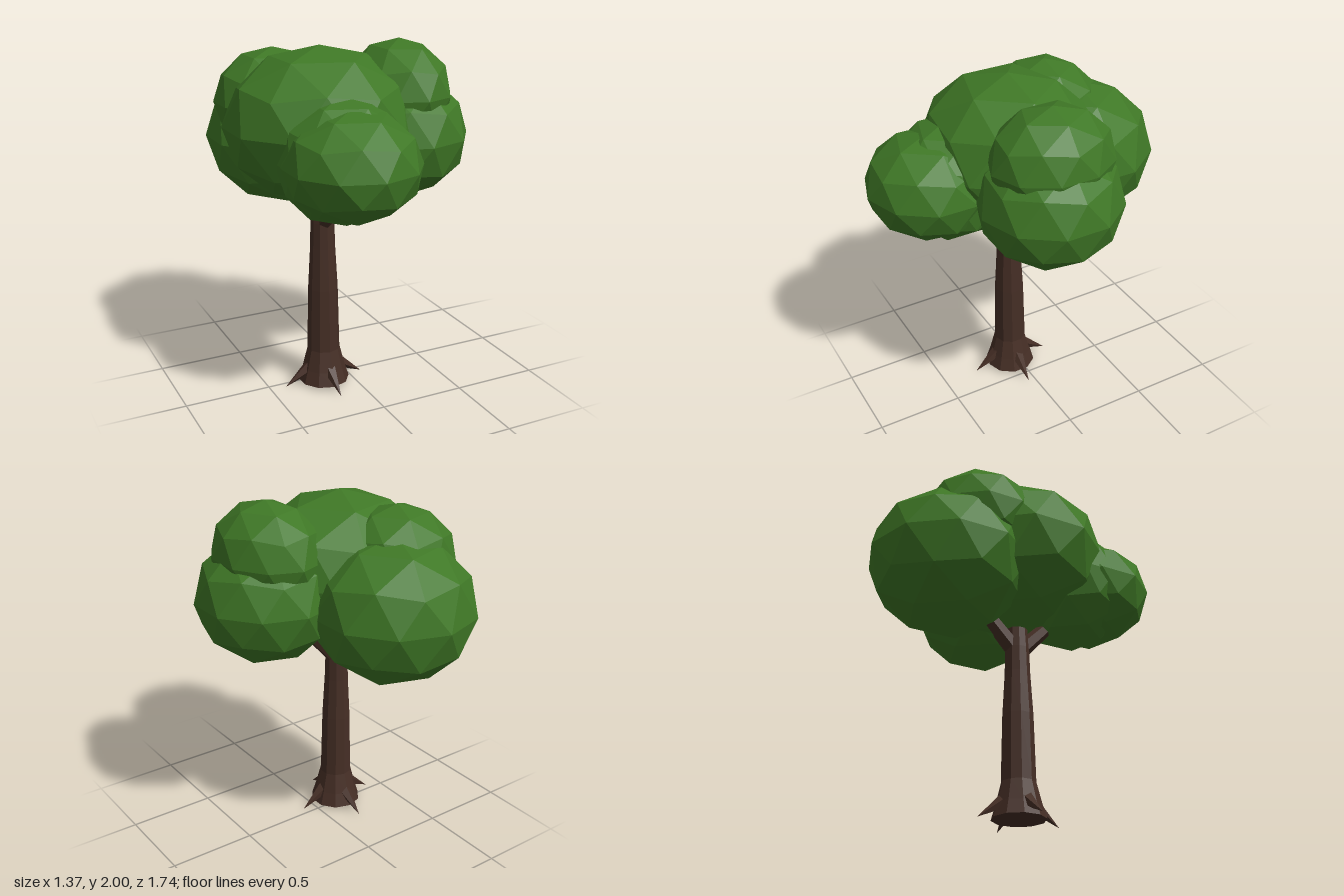
import * as THREE from 'three';

export function createModel() {
  const tree = new THREE.Group();
  tree.name = 'tree';
  const leafGreen = new THREE.MeshStandardMaterial({ color: 0x3f7826 });
  const barkBrown = new THREE.MeshStandardMaterial({ color: 0x452e25 });
  leafGreen.name = 'leafGreen';
  barkBrown.name = 'barkBrown';
  leafGreen.flatShading = barkBrown.flatShading = true;

  const add = (name, geometry, material, parent = tree) => {
    const mesh = new THREE.Mesh(geometry, material);
    mesh.name = name;
    parent.add(mesh);
    return mesh;
  };

  // Foliage clumps: low-poly spheres with a vertex at each pole
  const clump = new THREE.IcosahedronGeometry(1, 1);
  clump.rotateX(-Math.atan((1 + Math.sqrt(5)) / 2));
  clump.rotateY(Math.PI / 2);
  const clumps = [
    // name, centre, radii
    ['crownClump', [-0.17, 1.56, 0.03], [0.54, 0.43, 0.5]],
    ['frontClump', [-0.2, 1.44, 0.5], [0.37, 0.3, 0.365]],
    ['innerFrontClump', [-0.2, 1.44, 0.38], [0.36, 0.35, 0.34]],
    ['backClump', [-0.2, 1.42, -0.41], [0.46, 0.41, 0.46]],
    ['upperBackClump', [-0.32, 1.65, -0.28], [0.335, 0.3, 0.33]],
    ['leftClump', [0.31, 1.46, 0.05], [0.4, 0.36, 0.4]],
    ['upperLeftClump', [0.31, 1.7, 0.04], [0.29, 0.3, 0.35]],
  ];
  const foliage = new THREE.Group();
  foliage.name = 'foliage';
  tree.add(foliage);
  for (const [name, centre, radii] of clumps) {
    const mesh = add(name, clump, leafGreen, foliage);
    mesh.position.set(...centre);
    mesh.scale.set(...radii);
  }

  // Trunk: ten-sided, flared at the foot and closed underneath
  const wood = new THREE.Group();
  wood.name = 'wood';
  wood.position.set(-0.165, 0, 0.043);
  tree.add(wood);
  const profile = [[0, 0.02], [0.15, 0.02], [0.125, 0.1], [0.095, 0.22], [0.086, 0.6],
    [0.072, 0.85], [0.068, 1.0], [0.06, 1.12], [0, 1.14]];
  add('trunk', new THREE.LatheGeometry(profile.map(([r, y]) => new THREE.Vector2(r, y)), 10), barkBrown, wood);

  // Tapered limb between two points
  const up = new THREE.Vector3(0, 1, 0);
  const limb = (name, from, to, r0, r1, sides) => {
    const a = new THREE.Vector3(...from);
    const d = new THREE.Vector3(...to).sub(a);
    const geometry = new THREE.CylinderGeometry(r1, r0, d.length(), sides);
    geometry.translate(0, d.length() / 2, 0);
    const mesh = add(name, geometry, barkBrown, wood);
    mesh.position.copy(a);
    mesh.quaternion.setFromUnitVectors(up, d.normalize());
  };

  // Branches reaching into the side, front and back clumps
  for (const [x, z] of [[1, 0], [0, 1], [0, -1]]) {
    limb('branch', [x * 0.02, 1.0, z * 0.02], [x * 0.3, 1.29, z * 0.3], 0.05, 0.035, 6);
  }

  // Pointed roots on four sides
  for (const [x, z] of [[1, 0], [-1, 0], [0, 1], [0, -1]]) {
    limb('root', [x * 0.07, 0.12, z * 0.07], [x * 0.245, 0.005, z * 0.245], 0.045, 0, 5);
  }
  return tree;
}
